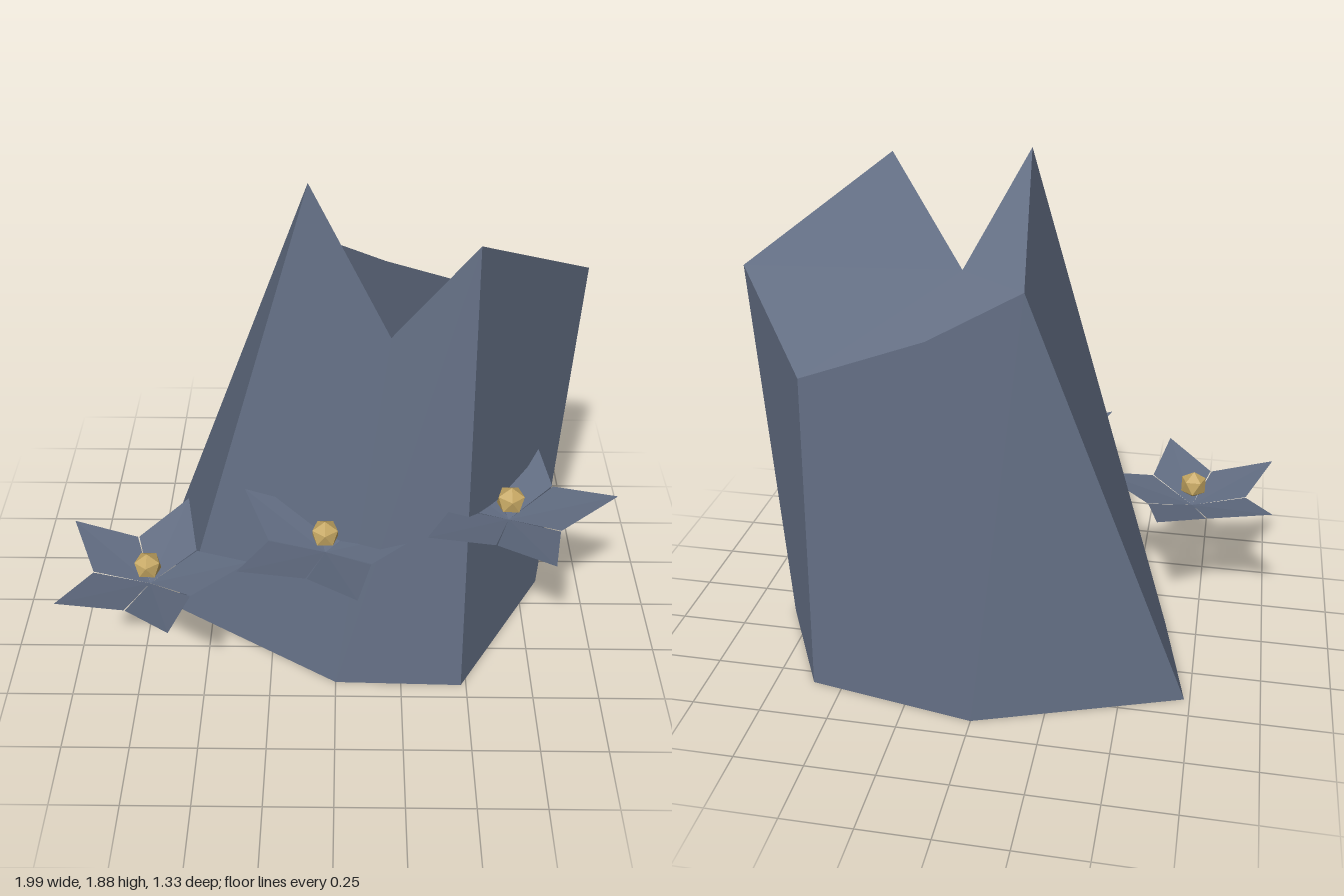
import * as THREE from 'three';

const slateBlue = new THREE.MeshStandardMaterial({ color: 0x606b80, side: THREE.DoubleSide });
slateBlue.name = 'slateBlue';
const gold = new THREE.MeshStandardMaterial({ color: 0xc4a662 });
gold.name = 'gold';

// Fans a set of polygons into triangles, with one flat normal per polygon
function facetGeometry(polygons) {
  const positions = [], normals = [];
  for (const points of polygons) {
    const normal = new THREE.Vector3();
    points.forEach((p, i) => normal.add(new THREE.Vector3().crossVectors(p, points[(i + 1) % points.length])));
    normal.normalize();
    for (let i = 1; i < points.length - 1; i++) {
      for (const p of [points[0], points[i], points[i + 1]]) {
        positions.push(p.x, p.y, p.z);
        normals.push(normal.x, normal.y, normal.z);
      }
    }
  }
  const geometry = new THREE.BufferGeometry();
  geometry.setAttribute('position', new THREE.Float32BufferAttribute(positions, 3));
  geometry.setAttribute('normal', new THREE.Float32BufferAttribute(normals, 3));
  return geometry;
}

// Seven-sided leaning stump, its rings starting at the front notch
function createRock() {
  const toPoints = (ring) => ring.map((p) => new THREE.Vector3(...p));
  const base = toPoints([
    [0, 0, 0.43], [0.48, 0, 0.44], [0.83, 0, -0.13], [0.61, 0, -0.56],
    [0, 0, -0.67], [-0.73, 0, -0.41], [-0.63, 0, 0.05],
  ]);
  const rim = toPoints([
    [0.185, 1.385, 0.13], [0.457, 1.79, 0.22], [0.89, 1.47, -0.2], [0.61, 1.19, -0.5],
    [0.18, 1.34, -0.465], [-0.135, 1.505, -0.395], [-0.095, 1.885, -0.02],
  ]);
  const sides = base.map((p, i) => {
    const j = (i + 1) % base.length;
    return [p, base[j], rim[j], rim[i]];
  });
  const rock = new THREE.Mesh(facetGeometry([...sides, rim, [...base].reverse()]), slateBlue);
  rock.name = 'rock';
  return rock;
}

// One kite-shaped petal, folded along its middle, pointing to +x
function petalGeometry() {
  const spread = THREE.MathUtils.degToRad(35.3);
  const x = 0.206 * Math.cos(spread), z = 0.206 * Math.sin(spread);
  const root = new THREE.Vector3(0, 0, 0);
  const tip = new THREE.Vector3(0.376, 0.112, 0);
  const front = new THREE.Vector3(x, 0.055, z);
  const back = new THREE.Vector3(x, 0.055, -z);
  return facetGeometry([[root, front, tip], [root, tip, back]]);
}

function createFlower(petalShape, seedShape) {
  const flower = new THREE.Group();
  flower.name = 'flower';
  for (let i = 0; i < 5; i++) {
    const petal = new THREE.Mesh(petalShape, slateBlue);
    petal.name = 'petal';
    petal.rotation.y = (i * Math.PI * 2) / 5;
    flower.add(petal);
  }
  const seed = new THREE.Mesh(seedShape, gold);
  seed.name = 'flowerCentre';
  seed.position.y = 0.093;
  flower.add(seed);
  return flower;
}

export function createModel() {
  const model = new THREE.Group();
  model.name = 'floweringRock';
  model.add(createRock());

  // Three flowers climbing from left to right across the front
  const petalShape = petalGeometry();
  const seedShape = new THREE.IcosahedronGeometry(0.054, 0);
  seedShape.rotateX(-Math.atan((1 + Math.sqrt(5)) / 2)); // a corner points up
  for (let i = 0; i < 3; i++) {
    const flower = createFlower(petalShape, seedShape);
    flower.position.set(-0.695 + i * 0.656, 0.4 + i * 0.165, 0.307);
    model.add(flower);
  }
  return model;
}
